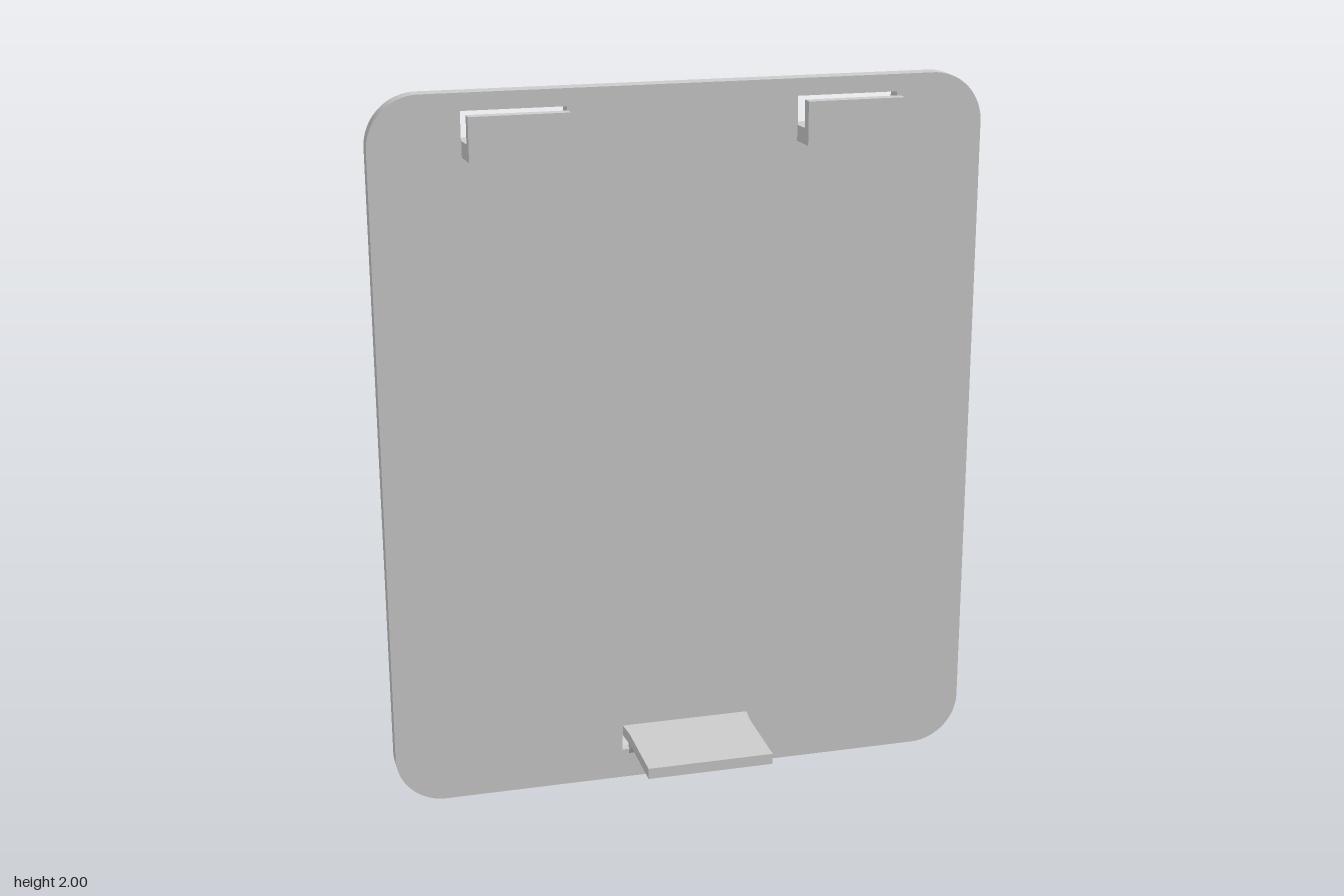
import * as THREE from 'three';
import { toCreasedNormals } from 'three/addons/utils/BufferGeometryUtils.js';

const BACK = -0.167, MID = -0.142, FRONT = -0.117; // z of the panel's faces
const W = 0.84, H = 2, R = 0.14;                   // half width, height, corner radius

const material = new THREE.MeshStandardMaterial({ color: 0xcccccc });

function add(parent, name, geometry) {
  const mesh = new THREE.Mesh(toCreasedNormals(geometry, 0.5), material);
  mesh.name = name;
  parent.add(mesh);
  return mesh;
}

// Rounded outline, with an optional notch in the bottom edge
function panelShape(notch) {
  const s = new THREE.Shape();
  s.moveTo(-W + R, 0);
  if (notch) {
    s.lineTo(-notch.x, 0).lineTo(-notch.x, notch.y);
    s.lineTo(notch.x, notch.y).lineTo(notch.x, 0);
  }
  s.lineTo(W - R, 0);
  s.absarc(W - R, R, R, -Math.PI / 2, 0);
  s.absarc(W - R, H - R, R, 0, Math.PI / 2);
  s.absarc(-W + R, H - R, R, Math.PI / 2, Math.PI);
  s.absarc(-W + R, R, R, Math.PI, Math.PI * 1.5);
  return s;
}

function slot(shape, x0, x1, y0, y1) {
  shape.holes.push(new THREE.Path([[x0, y0], [x0, y1], [x1, y1], [x1, y0]]
    .map(p => new THREE.Vector2(...p))));
}

function layer(shape, z0, z1) {
  return new THREE.ExtrudeGeometry(shape, { depth: z1 - z0, bevelEnabled: false, curveSegments: 16 })
    .translate(0, 0, z0);
}

// Side profile of [z, y] points swept along x, flaring slightly where it meets the panel
function sweep(points, halfWidth, flare = 0.006) {
  const s = new THREE.Shape(points.map(p => new THREE.Vector2(...p)));
  const g = new THREE.ExtrudeGeometry(s, { depth: 2 * halfWidth, bevelEnabled: false })
    .translate(0, 0, -halfWidth).rotateY(-Math.PI / 2);
  const p = g.attributes.position;
  for (let i = 0; i < p.count; i++) {
    if (p.getZ(i) < FRONT + 0.001) p.setX(i, p.getX(i) + Math.sign(p.getX(i)) * flare);
  }
  g.computeVertexNormals();
  return g;
}

export function createModel() {
  const model = new THREE.Group();
  model.name = 'hookedPanel';

  // Panel in two layers: the rear one has a notch that forms the recess
  const panel = new THREE.Group();
  panel.name = 'panel';
  model.add(panel);
  const front = panelShape();
  const rear = panelShape({ x: 0.275, y: 0.132 });
  for (const s of [front, rear]) {
    slot(s, -0.595, -0.315, 1.875, 1.953);
    slot(s, 0.315, 0.595, 1.875, 1.953);
  }
  slot(front, -0.187, 0.187, 0.087, 0.132);
  add(panel, 'panelFront', layer(front, MID, FRONT));
  add(panel, 'panelRear', layer(rear, BACK, MID));

  // Upward hooks below the upper slots
  for (const side of [-1, 1]) {
    const hook = add(model, side > 0 ? 'leftHook' : 'rightHook', sweep([
      [FRONT, 1.832], [-0.039, 1.832], [-0.039, 1.95],
      [-0.071, 1.95], [-0.071, 1.875], [FRONT, 1.875],
    ], 0.134));
    hook.position.x = side * 0.454;
  }

  // Release tab with a wedge-shaped catch underneath
  add(model, 'releaseTab', sweep([
    [FRONT, 0.132], [-0.071, 0.132], [-0.071, 0.097], [-0.037, 0.132],
    [0.167, 0.132], [0.167, 0.163], [-0.06, 0.163], [FRONT, 0.163],
  ], 0.179));

  return model;
}
